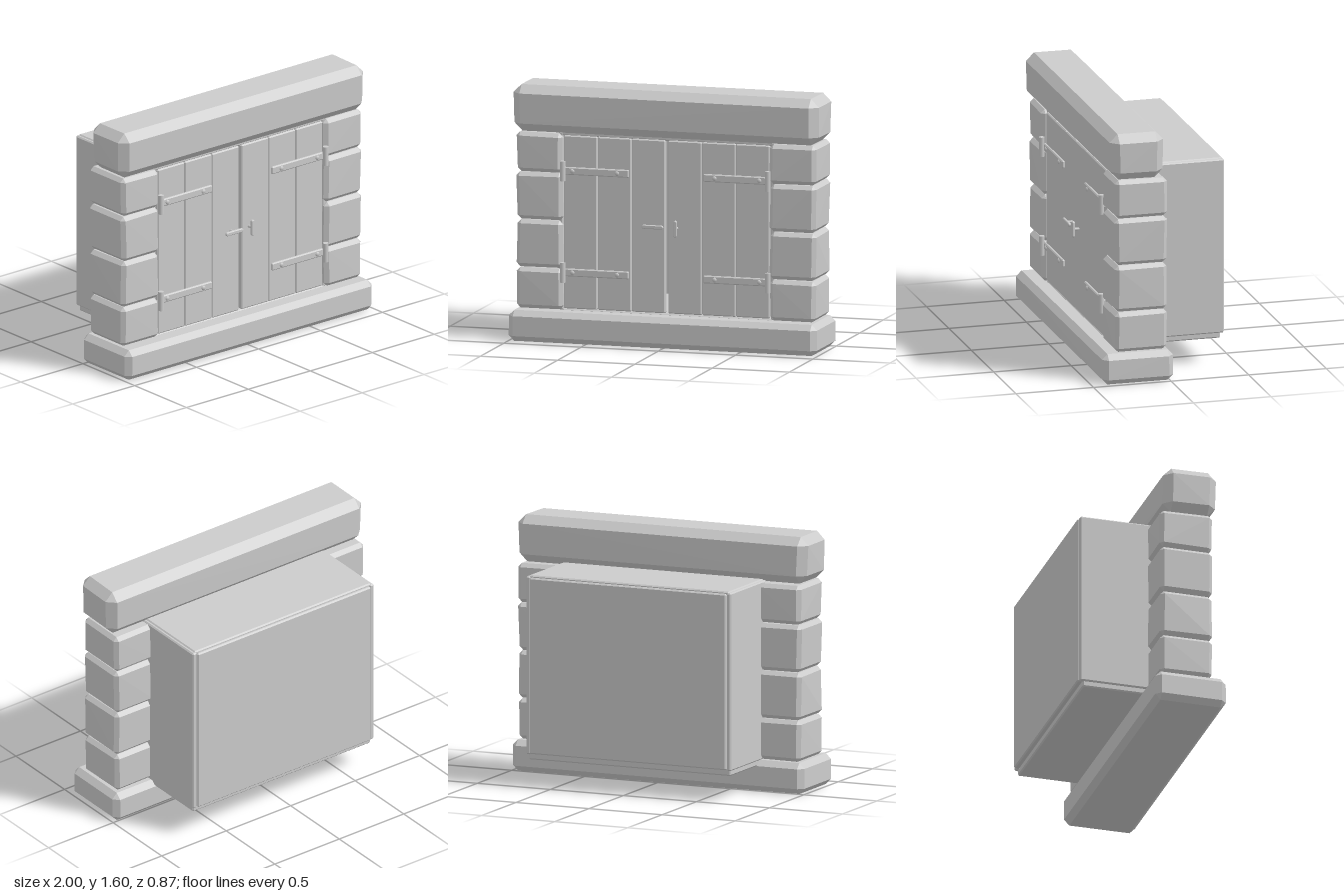
import * as THREE from 'three';
import { ConvexGeometry } from 'three/addons/geometries/ConvexGeometry.js';

const stone = new THREE.MeshStandardMaterial({ color: 0xcccccc });
stone.name = 'plainGrey';

// Small seeded random in -1..1 for hand-cut stone corners
let seed = 7;
const rnd = () => {
  seed = (seed * 16807) % 2147483647;
  return (seed / 2147483647) * 2 - 1;
};

// Box with bevelled edges and optionally wobbly corners, given by its bounds
function bevelBox([x0, x1], [y0, y1], [z0, z1], b, wobble = 0) {
  const points = [];
  for (const [x, sx] of [[x0, 1], [x1, -1]])
    for (const [y, sy] of [[y0, 1], [y1, -1]])
      for (const [z, sz] of [[z0, 1], [z1, -1]]) {
        const cx = x + sx * wobble * (1 + rnd());
        const cy = y + sy * wobble * 0.4 * (1 + rnd());
        const cz = z + sz * wobble * 0.5 * (1 + rnd());
        points.push(
          new THREE.Vector3(cx, cy + sy * b, cz + sz * b),
          new THREE.Vector3(cx + sx * b, cy, cz + sz * b),
          new THREE.Vector3(cx + sx * b, cy + sy * b, cz));
      }
  return new ConvexGeometry(points);
}

// Flat bar with round ends, lying along x, back face on z = 0
function roundBar(length, width, depth, bevel) {
  const r = width / 2 - bevel, h = length / 2 - width / 2;
  const shape = new THREE.Shape();
  shape.absarc(h, 0, r, -Math.PI / 2, Math.PI / 2, false);
  shape.absarc(-h, 0, r, Math.PI / 2, Math.PI * 1.5, false);
  const g = new THREE.ExtrudeGeometry(shape, {
    depth: depth - 2 * bevel, bevelEnabled: true, bevelSize: bevel,
    bevelThickness: bevel, bevelSegments: 1, curveSegments: 8 });
  return g.translate(0, 0, bevel);
}

export function createModel() {
  seed = 7;
  const model = new THREE.Group();
  model.name = 'stoneFramedCupboard';
  const add = (name, geometry, parent = model) => {
    const mesh = new THREE.Mesh(geometry, stone);
    mesh.name = name;
    parent.add(mesh);
    return mesh;
  };

  // Stone surround
  add('sill', bevelBox([-1, 1], [0, 0.197], [-0.025, 0.435], 0.035, 0.002));
  add('lintel', bevelBox([-0.995, 0.995], [1.305, 1.605], [0.03, 0.38], 0.052, 0.008));
  const courses = [0.197, 0.457, 0.757, 1.057, 1.308];
  for (const side of [-1, 1])
    for (let i = 0; i < 4; i++) {
      const xs = side > 0 ? [0.665, 0.972] : [-0.972, -0.665];
      add('pillarStone', bevelBox(xs, [courses[i], courses[i + 1]], [0.01, 0.352], 0.024, 0.005));
    }

  // Cabinet body
  for (const side of [-1, 1]) {
    const xs = side > 0 ? [0.67, 0.702] : [-0.702, -0.67];
    add('sidePanel', bevelBox(xs, [0.195, 1.315], [-0.428, 0.315], 0.008));
  }
  add('topPanel', bevelBox([-0.685, 0.685], [1.29, 1.322], [-0.42, 0.315], 0.008));
  add('bottomPanel', bevelBox([-0.69, 0.69], [0.16, 0.205], [-0.408, 0.315], 0.008));
  add('backPanel', bevelBox([-0.672, 0.672], [0.2, 1.308], [-0.438, -0.4], 0.008));

  // Plank doors with strap hinges
  const doorZ = 0.325;
  const edges = [0.008, 0.228, 0.448, 0.667];
  for (const side of [-1, 1]) {
    const door = new THREE.Group();
    door.name = side > 0 ? 'leftDoor' : 'rightDoor';
    model.add(door);
    for (let i = 0; i < 3; i++) {
      const xs = [edges[i] + 0.001, edges[i + 1] - 0.001];
      if (side < 0) xs.reverse();
      add('plank', bevelBox(xs.map(x => x * side), [0.208, 1.295], [0.29, doorZ], 0.007), door);
    }
    for (const y of [0.437, 1.075]) {
      const hinge = new THREE.Group();
      hinge.name = 'hinge';
      hinge.position.set(0, y, doorZ);
      door.add(hinge);
      const strap = bevelBox([-0.212, 0.212], [-0.024, 0.024], [0, 0.02], 0.006);
      add('strap', strap, hinge).position.x = side * 0.453;
      add('knuckle', new THREE.CylinderGeometry(0.018, 0.018, 0.124, 12), hinge)
        .position.set(side * 0.664, 0, 0.028);
      for (const x of [0.315, 0.605]) {
        const rivet = add('rivet', new THREE.SphereGeometry(0.015, 10, 6), hinge);
        rivet.position.set(side * x, 0, 0.02);
        rivet.scale.z = 0.6;
      }
    }
  }

  // Turn latch on one door, upright pull on the other
  for (const [name, x, y, length, turn] of [
    ['latch', -0.08, 0.753, 0.138, 0], ['pull', 0.067, 0.748, 0.104, Math.PI / 2]]) {
    const handle = new THREE.Group();
    handle.name = name;
    handle.position.set(x, y, doorZ);
    handle.rotation.z = turn;
    model.add(handle);
    add('bar', roundBar(length, 0.024, 0.018, 0.004), handle).position.z = 0.028;
    const post = new THREE.CylinderGeometry(0.009, 0.009, 0.034, 8).rotateX(Math.PI / 2);
    add('post', post, handle).position.z = 0.015;
  }
  return model;
}
